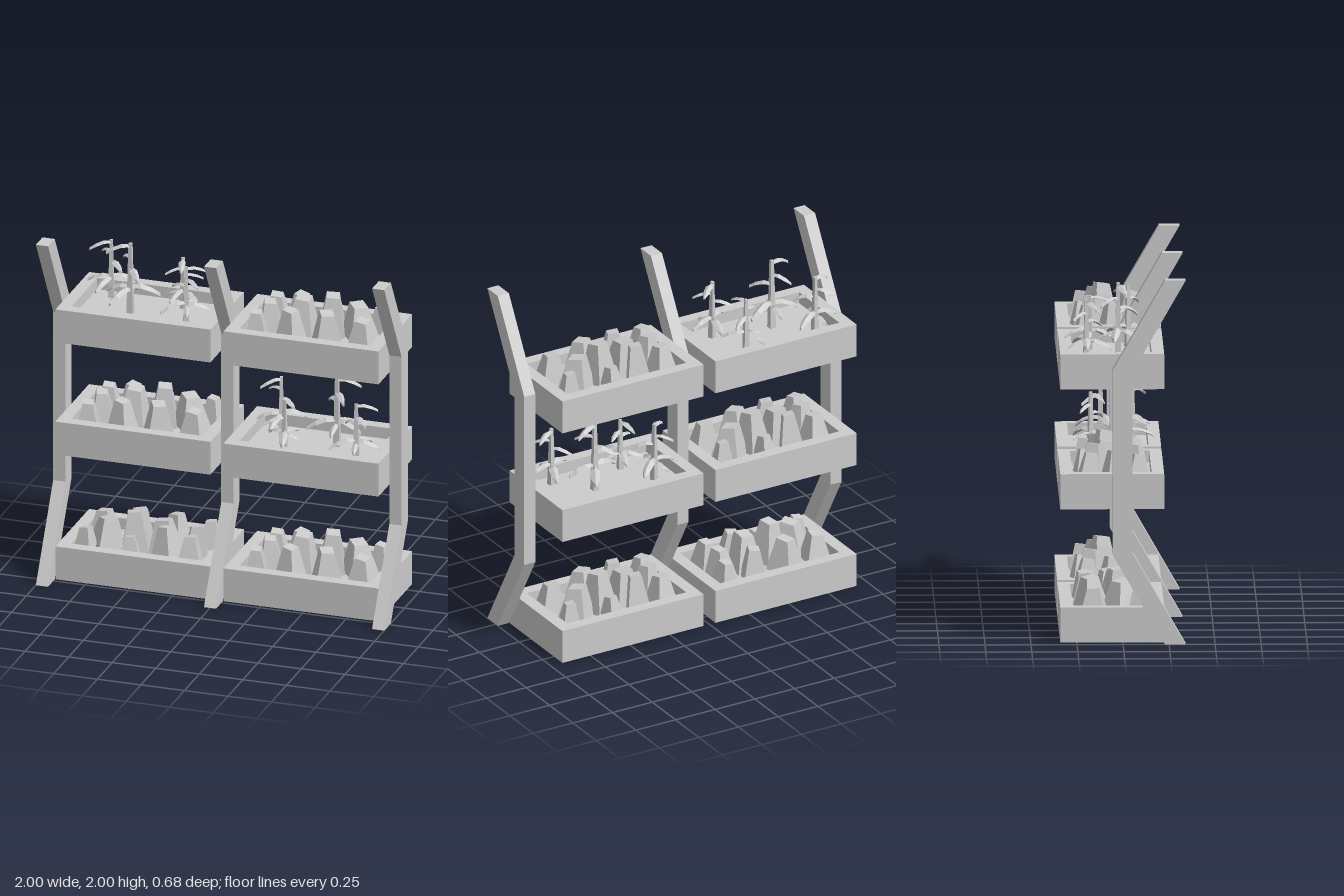
import * as THREE from 'three';

const mat = new THREE.MeshStandardMaterial({ color: 0xcccccc, flatShading: true });
const mesh = (name, geo) => {
  const m = new THREE.Mesh(geo, mat);
  m.name = name;
  return m;
};

const BOX_X = 0.4825, BOX_Z = -0.0575, SOIL_DROP = 0.065, BOX_H = 0.193;

// Bent upright: side profile in (z, y), extruded along x
function post(x) {
  const w = 0.07;
  const shape = new THREE.Shape([
    [0.34, 0], [0.05, 0.505], [0.05, 1.495], [0.34, 2],
    [0.228, 2], [-0.055, 1.51], [-0.055, 0.49], [0.228, 0],
  ].map(([z, y]) => new THREE.Vector2(z, y)));
  const geo = new THREE.ExtrudeGeometry(shape, { depth: w, bevelEnabled: false });
  geo.translate(0, 0, -w / 2).rotateY(-Math.PI / 2);
  const m = mesh('post', geo);
  m.position.x = x;
  return m;
}

// Planter with a rim around sunken soil; its origin is the middle of the bottom
function planter() {
  const g = new THREE.Group();
  const rect = (Type, w, d) => new Type([[-1, -1], [1, -1], [1, 1], [-1, 1]]
    .map(([x, y]) => new THREE.Vector2(x * w / 2, y * d / 2)));
  const shape = rect(THREE.Shape, 0.89, 0.565);
  shape.holes.push(rect(THREE.Path, 0.75, 0.43));
  const walls = new THREE.ExtrudeGeometry(shape, { depth: BOX_H, bevelEnabled: false });
  g.add(mesh('planterWalls', walls.rotateX(-Math.PI / 2)));
  const h = BOX_H - SOIL_DROP;
  g.add(mesh('soil', new THREE.BoxGeometry(0.75, h, 0.43).translate(0, h / 2, 0)));
  return g;
}

// Leafy clumps as tapered blocks: x, z, base side, height over rim, turn, lean in x, lean in z
const CLUMPS = [
  [0.21, -0.18, 0.12, 0.09, 0.15, 0.0, 0.01], [0.35, -0.16, 0.12, 0.12, -0.3, 0.01, 0.01],
  [0.535, -0.205, 0.09, 0.06, 0.25, 0.01, 0], [0.80, -0.2, 0.1, 0.08, -0.2, 0, 0],
  [0.71, -0.11, 0.155, 0.115, 0.7, -0.01, 0], [0.55, -0.09, 0.14, 0.16, 0.3, 0.01, 0],
  [0.385, -0.07, 0.15, 0.13, 0.05, 0.01, -0.01], [0.225, -0.04, 0.12, 0.1, 0.35, -0.01, 0],
  [0.18, 0.08, 0.11, 0.085, 0.2, 0, 0.01], [0.37, 0.07, 0.12, 0.11, -0.35, 0, 0],
  [0.575, 0.05, 0.14, 0.115, 0.5, 0, 0.01], [0.775, 0.04, 0.13, 0.09, -0.15, 0, 0],
];

function clumps() {
  const g = new THREE.Group();
  for (const [x, z, side, over, turn, lx, lz] of CLUMPS) {
    const h = over + SOIL_DROP;
    const geo = new THREE.CylinderGeometry(side * 0.36, side * 0.75, h, 4, 1);
    geo.rotateY(Math.PI / 4 + turn).translate(0, h / 2, 0);
    // Lean the block and slope its top
    const p = geo.attributes.position;
    for (let i = 0; i < p.count; i++) {
      if (p.getY(i) < h / 2) continue;
      p.setY(i, h - 0.12 * (p.getX(i) + p.getZ(i)));
      p.setX(i, p.getX(i) + lx);
      p.setZ(i, p.getZ(i) + lz);
    }
    const m = mesh('leafClump', geo);
    m.position.set(x - BOX_X, 0, z - BOX_Z);
    g.add(m);
  }
  return g;
}

// Drooping leaf along +x, lofted through diamond sections: distance, height, half width
function leafGeometry() {
  const rings = [[0, 0, 0.011], [0.055, 0.004, 0.027], [0.11, -0.018, 0.023], [0.155, -0.048, 0.007]];
  const pos = [], idx = [];
  for (const [d, y, w] of rings) {
    pos.push(d, y - 0.008, -w, d, y + 0.009, 0, d, y - 0.008, w, d, y - 0.013, 0);
  }
  for (let r = 0; r < rings.length - 1; r++) {
    for (let k = 0; k < 4; k++) {
      const a = r * 4 + k, b = r * 4 + (k + 1) % 4;
      idx.push(a, b, a + 4, b, b + 4, a + 4);
    }
  }
  const e = (rings.length - 1) * 4;
  idx.push(0, 2, 1, 0, 3, 2, e, e + 1, e + 2, e, e + 2, e + 3);
  const geo = new THREE.BufferGeometry();
  geo.setAttribute('position', new THREE.Float32BufferAttribute(pos, 3));
  geo.setIndex(idx);
  geo.computeVertexNormals();
  return geo;
}

// Leaves on a stem: angle in degrees (x towards z), height, scale
const LEAVES = [
  [162, 0.39, 0.85], [233, 0.32, 0.75], [53, 0.265, 0.85],
  [-18, 0.155, 1.05], [118, 0.14, 1], [190, 0.15, 0.95], [270, 0.13, 0.7],
];

function plant(leafGeo) {
  const g = new THREE.Group();
  g.name = 'plant';
  const stem = new THREE.CylinderGeometry(0.013, 0.025, 0.405, 4, 1);
  g.add(mesh('stem', stem.rotateY(Math.PI / 4).translate(0, 0.2025, 0)));
  for (const [deg, y, s] of LEAVES) {
    const leaf = mesh('leaf', leafGeo);
    leaf.position.y = y;
    leaf.rotation.y = -deg * Math.PI / 180;
    leaf.scale.setScalar(s);
    g.add(leaf);
  }
  return g;
}

// Four plants: x, z, height scale, turn in degrees
function plants() {
  const g = new THREE.Group();
  const leafGeo = leafGeometry();
  for (const [x, z, s, turn] of [
    [-0.75, -0.195, 0.83, 10], [-0.58, -0.02, 1, 0], [-0.33, -0.17, 0.73, 85], [-0.24, 0.04, 0.83, 200],
  ]) {
    const p = plant(leafGeo);
    p.position.set(x + BOX_X, 0, z - BOX_Z);
    p.rotation.y = turn * Math.PI / 180;
    p.scale.set((s + 1) / 2, s, (s + 1) / 2);
    g.add(p);
  }
  return g;
}

export function createModel() {
  const model = new THREE.Group();
  model.name = 'verticalPlanter';
  for (const x of [-0.965, 0, 0.965]) model.add(post(x));

  // Planters: side, bottom height, contents, whether the contents are turned round
  for (const [side, y, fill, turned] of [
    [-1, 0, clumps, true], [1, 0, clumps, false],
    [-1, 0.733, clumps, false], [1, 0.733, plants, true],
    [-1, 1.392, plants, false], [1, 1.392, clumps, false],
  ]) {
    const box = planter();
    box.name = 'planter';
    box.position.set(side * BOX_X, y, BOX_Z);
    const content = fill();
    content.name = fill === plants ? 'plants' : 'leafClumps';
    content.position.y = BOX_H - SOIL_DROP;
    if (turned) content.rotation.y = Math.PI;
    box.add(content);
    model.add(box);
  }
  return model;
}
